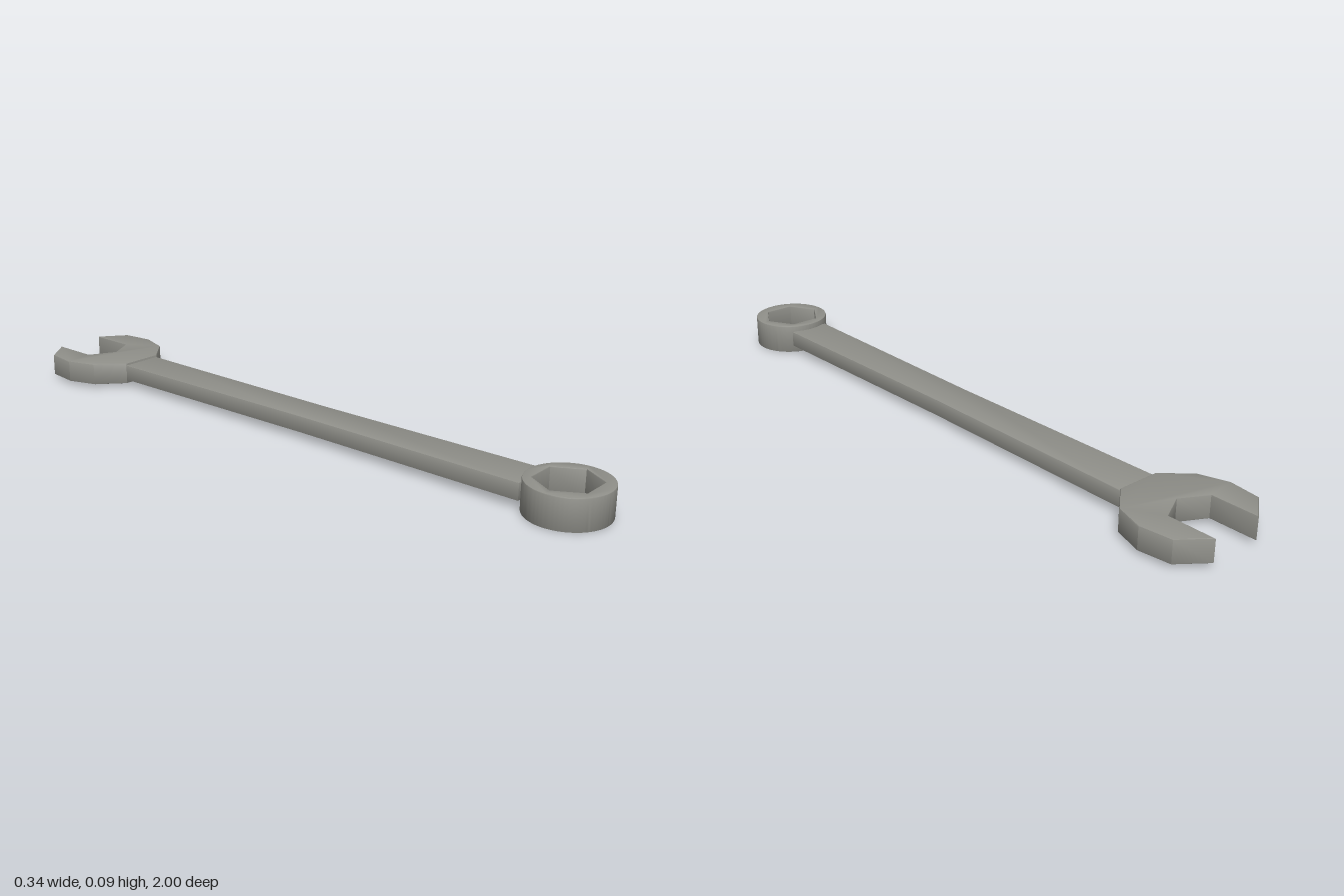
import * as THREE from 'three';
import { toCreasedNormals } from 'three/addons/utils/BufferGeometryUtils.js';

const steel = new THREE.MeshStandardMaterial({ color: 0x90908a });
steel.name = 'steel';

// Extrude a plan outline (x, z) between two heights, with softened edges
function slab(name, shape, bottom, top, bevel) {
  const geometry = new THREE.ExtrudeGeometry(shape, {
    depth: top - bottom - 2 * bevel,
    bevelEnabled: bevel > 0,
    bevelThickness: bevel,
    bevelSize: bevel,
    bevelOffset: -bevel,
    bevelSegments: 2,
    curveSegments: 64,
  });
  geometry.rotateX(Math.PI / 2);
  geometry.translate(0, top - bevel, 0);
  const mesh = new THREE.Mesh(toCreasedNormals(geometry, 0.42), steel);
  mesh.name = name;
  return mesh;
}

// Closed outline from one half, mirrored across x = 0
function mirrored(half) {
  const other = half.filter(([x]) => x !== 0).reverse().map(([x, z]) => [-x, z]);
  return new THREE.Shape([...half, ...other].map(([x, z]) => new THREE.Vector2(x, z)));
}

export function createModel() {
  const group = new THREE.Group();
  group.name = 'wrench';

  // Open jaw with a V-bottomed notch
  const jaw = mirrored([
    [0, -0.815], [0.08, -0.857], [0.08, -1], [0.16, -0.94],
    [0.172, -0.845], [0.143, -0.757], [0.065, -0.688],
  ]);
  group.add(slab('openJaw', jaw, 0.013, 0.08, 0.003));

  // Handle, slightly waisted in the middle
  const handle = mirrored([[0.064, -0.69], [0.057, 0.05], [0.064, 0.781]]);
  group.add(slab('handle', handle, 0.024, 0.073, 0.002));

  // Ring end with a hexagonal socket
  const ringZ = 0.884;
  const ring = new THREE.Shape().absarc(0, ringZ, 0.116, 0, Math.PI * 2);
  const hexagon = [];
  for (let i = 0; i < 6; i++) {
    const a = -i * Math.PI / 3;
    hexagon.push(new THREE.Vector2(0.09 * Math.cos(a), ringZ - 0.003 + 0.09 * Math.sin(a)));
  }
  ring.holes.push(new THREE.Path(hexagon));
  group.add(slab('ringEnd', ring, 0, 0.091, 0.003));

  return group;
}
